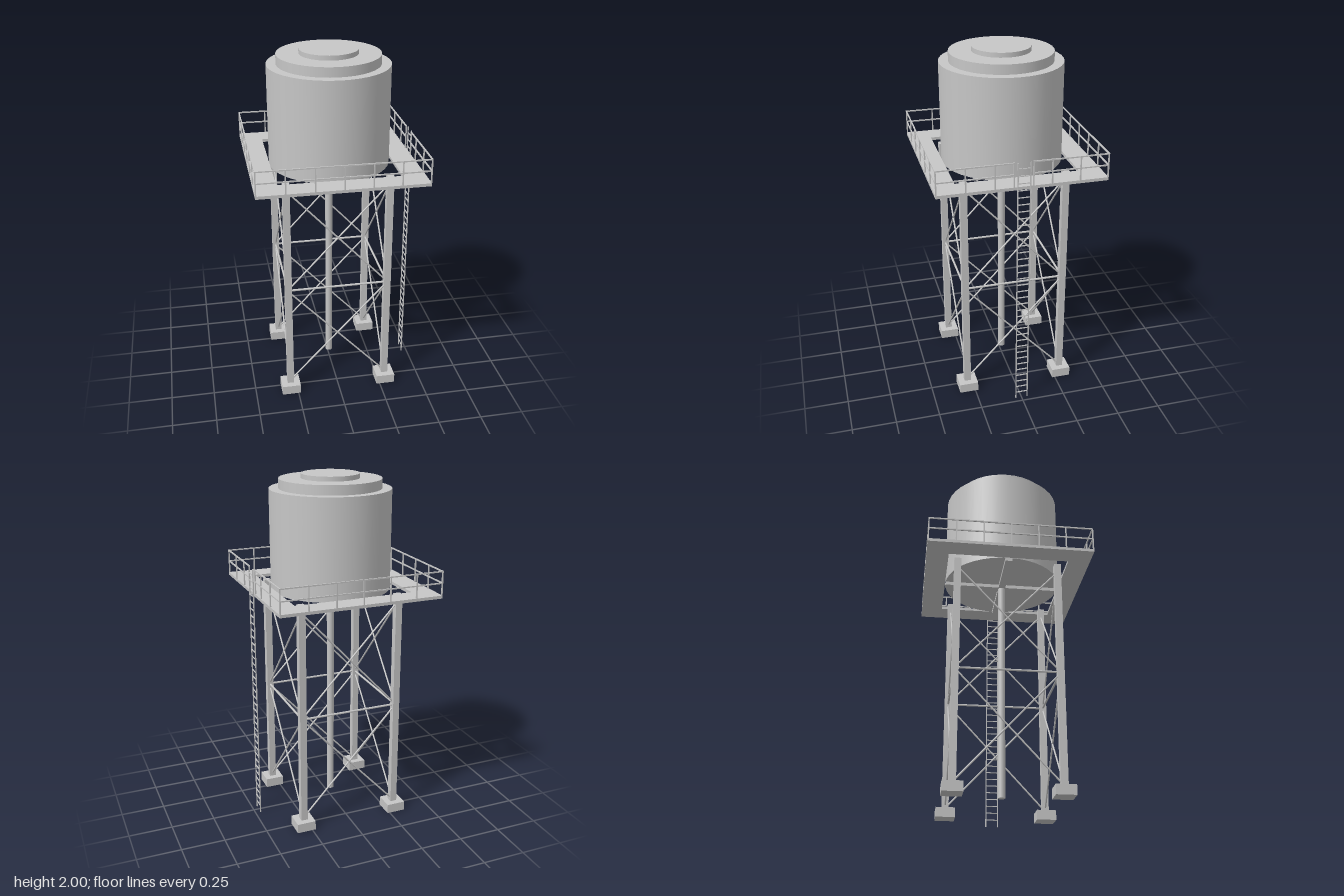
import * as THREE from 'three';

export function createModel() {
  const model = new THREE.Group();
  model.name = 'waterTower';
  const steel = new THREE.MeshStandardMaterial({ color: 0xc6c6c6 });
  steel.name = 'grey steel';

  // ladder stands slightly proud of one side, so the tower is shifted to stay centred
  const tower = new THREE.Group();
  tower.name = 'tower';
  tower.position.x = -0.003;
  model.add(tower);

  const add = (parent, name, geometry, x = 0, y = 0, z = 0) => {
    const mesh = new THREE.Mesh(geometry, steel);
    mesh.name = name;
    mesh.position.set(x, y, z);
    parent.add(mesh);
    return mesh;
  };
  const box = (parent, name, w, h, d, x, y, z) =>
    add(parent, name, new THREE.BoxGeometry(w, h, d), x, y, z);
  const drum = (name, radius, bottom, top, sides) =>
    add(tower, name, new THREE.CylinderGeometry(radius, radius, top - bottom, sides), 0, (bottom + top) / 2, 0);
  // round bar between two points
  const bar = (parent, name, a, b, radius) => {
    const from = new THREE.Vector3(...a), to = new THREE.Vector3(...b);
    const dir = to.clone().sub(from);
    const mesh = add(parent, name, new THREE.CylinderGeometry(radius, radius, dir.length(), 8));
    mesh.position.copy(from).add(to).multiplyScalar(0.5);
    mesh.quaternion.setFromUnitVectors(new THREE.Vector3(0, 1, 0), dir.normalize());
  };

  const LEG = 0.288, DECK = 1.357, DECK_TOP = 1.374, EDGE = 0.468, RAIL = 0.4645;

  // tank with stepped roof, and the central riser pipe
  drum('tank', 0.341, DECK, 1.92, 40);
  drum('roofStep', 0.287, 1.92, 1.974, 40);
  drum('roofCap', 0.163, 1.974, 2, 40);
  drum('riserPipe', 0.021, 0.055, DECK, 20);

  // crossed beams under the tank
  box(tower, 'supportBeamX', 0.684, 0.02, 0.04, 0, DECK - 0.01, 0);
  box(tower, 'supportBeamZ', 0.04, 0.02, 0.684, 0, DECK - 0.01, 0);

  // square walkway with a square opening
  const square = (Type, s) => new Type([[-s, -s], [s, -s], [s, s], [-s, s]].map(p => new THREE.Vector2(...p)));
  const deck = square(THREE.Shape, EDGE);
  deck.holes.push(square(THREE.Path, 0.343));
  const deckGeometry = new THREE.ExtrudeGeometry(deck, { depth: DECK_TOP - DECK, bevelEnabled: false });
  deckGeometry.rotateX(-Math.PI / 2);
  add(tower, 'walkway', deckGeometry, 0, DECK, 0);

  // legs and footings
  for (const sx of [-1, 1]) for (const sz of [-1, 1]) {
    box(tower, 'footing', 0.11, 0.055, 0.11, sx * LEG, 0.0275, sz * LEG);
    box(tower, 'leg', 0.039, DECK - 0.055, 0.039, sx * LEG, (DECK + 0.055) / 2, sz * LEG);
  }

  // bracing and railing, one side at a time; side 1 faces the ladder
  for (let i = 0; i < 4; i++) {
    const side = new THREE.Group();
    side.name = 'towerSide';
    side.rotation.y = i * Math.PI / 2;
    tower.add(side);

    bar(side, 'horizontalBrace', [-LEG, 0.688, LEG], [LEG, 0.688, LEG], 0.0065);
    for (const [low, high] of [[0.06, 0.682], [0.692, 1.312]]) for (const s of [-1, 1]) {
      bar(side, 'diagonalBrace', [-s * LEG, low, LEG], [s * LEG, high, LEG], 0.005);
    }

    const gap = i === 1;
    const spans = gap ? [[-EDGE, -0.049], [0.049, EDGE]] : [[-EDGE, EDGE]];
    for (const [a, b] of spans) for (const y of [1.443, 1.508]) {
      box(side, 'handrail', b - a, 0.007, 0.007, (a + b) / 2, y, RAIL);
    }
    const posts = [-3, -2, -1, 0, 1, 2].map(n => n * RAIL / 3);
    const places = gap ? [...posts.filter(p => p !== 0), -0.0525, 0.0525] : posts;
    for (const p of places) {
      box(side, 'railPost', 0.007, 1.511 - DECK_TOP, 0.007, p, (1.511 + DECK_TOP) / 2, RAIL);
    }
  }

  // access ladder
  const ladder = new THREE.Group();
  ladder.name = 'ladder';
  ladder.position.x = 0.471;
  tower.add(ladder);
  for (const s of [-1, 1]) box(ladder, 'ladderRail', 0.006, 1.51, 0.006, 0, 0.755, s * 0.0345);
  for (let i = 0; i < 36; i++) box(ladder, 'rung', 0.005, 0.005, 0.066, 0, 0.041 * (i + 1), 0);

  return model;
}
